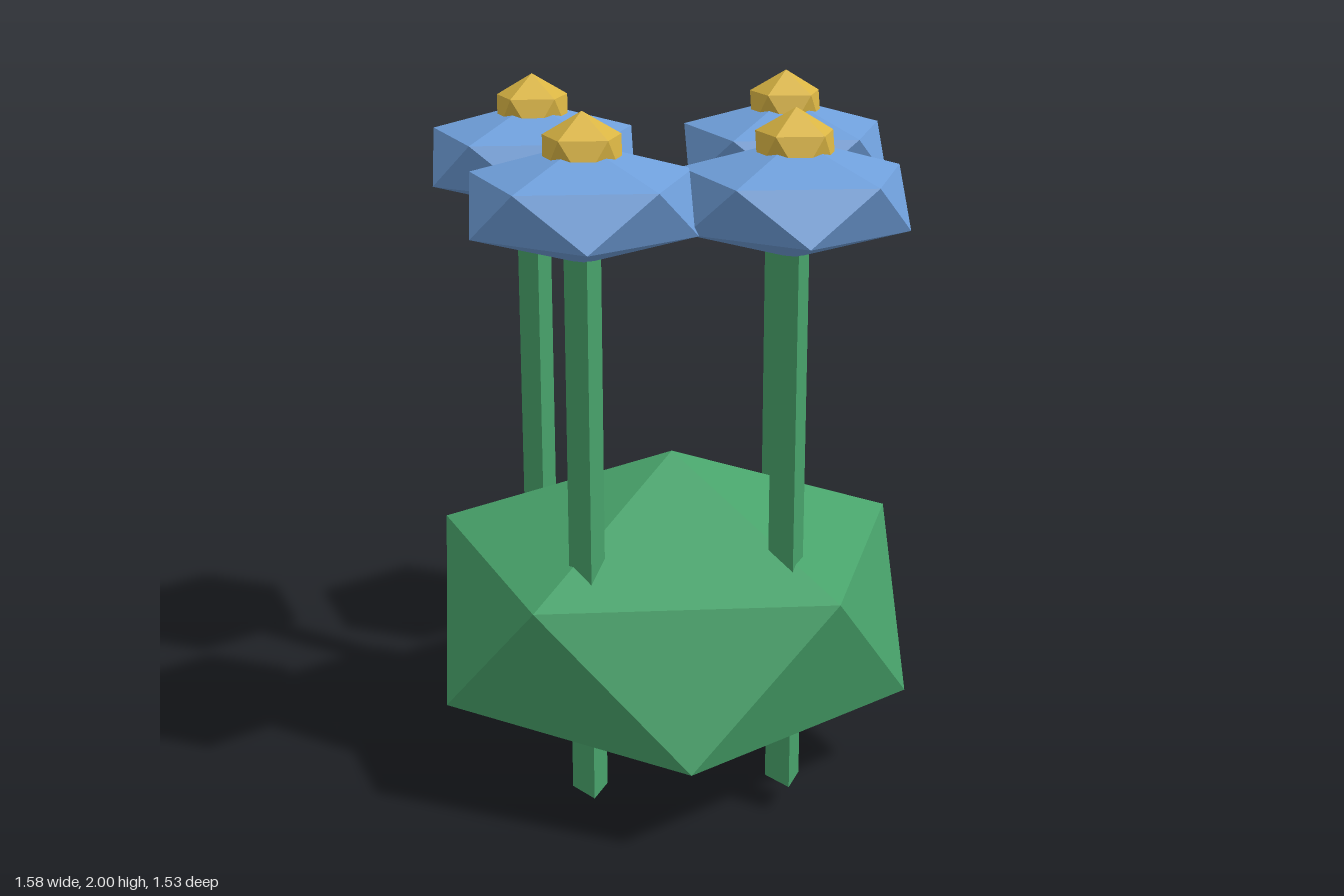
import * as THREE from 'three';

const green = new THREE.MeshStandardMaterial({ color: 0x48a36b, flatShading: true });
green.name = 'leafGreen';
const blue = new THREE.MeshStandardMaterial({ color: 0x6f9fdb, flatShading: true });
blue.name = 'petalBlue';
const gold = new THREE.MeshStandardMaterial({ color: 0xdab544, flatShading: true });
gold.name = 'centreGold';

// Squashed icosahedron with its poles on y and an upper-ring corner towards +x
function gem(name, material, ringRadius, halfHeight, x, y, z) {
  const geometry = new THREE.IcosahedronGeometry(1, 0);
  geometry.rotateZ(-Math.atan(2 / (1 + Math.sqrt(5))));
  const radius = ringRadius * Math.sqrt(5) / 2;
  geometry.scale(radius, halfHeight, radius);
  const mesh = new THREE.Mesh(geometry, material);
  mesh.name = name;
  mesh.position.set(x, y, z);
  return mesh;
}

// Three-sided stem, flat side to the front
function stem(x, z) {
  const bottom = 0.085, top = 1.7;
  const geometry = new THREE.CylinderGeometry(0.057, 0.057, top - bottom, 3, 1, false, Math.PI);
  const mesh = new THREE.Mesh(geometry, green);
  mesh.name = 'stem';
  mesh.position.set(x, (top + bottom) / 2, z);
  return mesh;
}

export function createModel() {
  const model = new THREE.Group();
  model.name = 'floweringBush';

  model.add(gem('bush', green, 0.702, 0.473, -0.01, 0.475, 0.015));

  // Four flowers standing in the bush
  const spots = [[0.482, 0.012], [-0.07, -0.475], [-0.485, 0.14], [0.178, 0.472]];
  for (const [x, z] of spots) {
    const flower = new THREE.Group();
    flower.name = 'flower';
    flower.add(
      stem(x, z),
      gem('petals', blue, 0.306, 0.157, x, 1.762, z),
      gem('flowerCentre', gold, 0.107, 0.115, x, 1.885, z)
    );
    model.add(flower);
  }
  return model;
}
